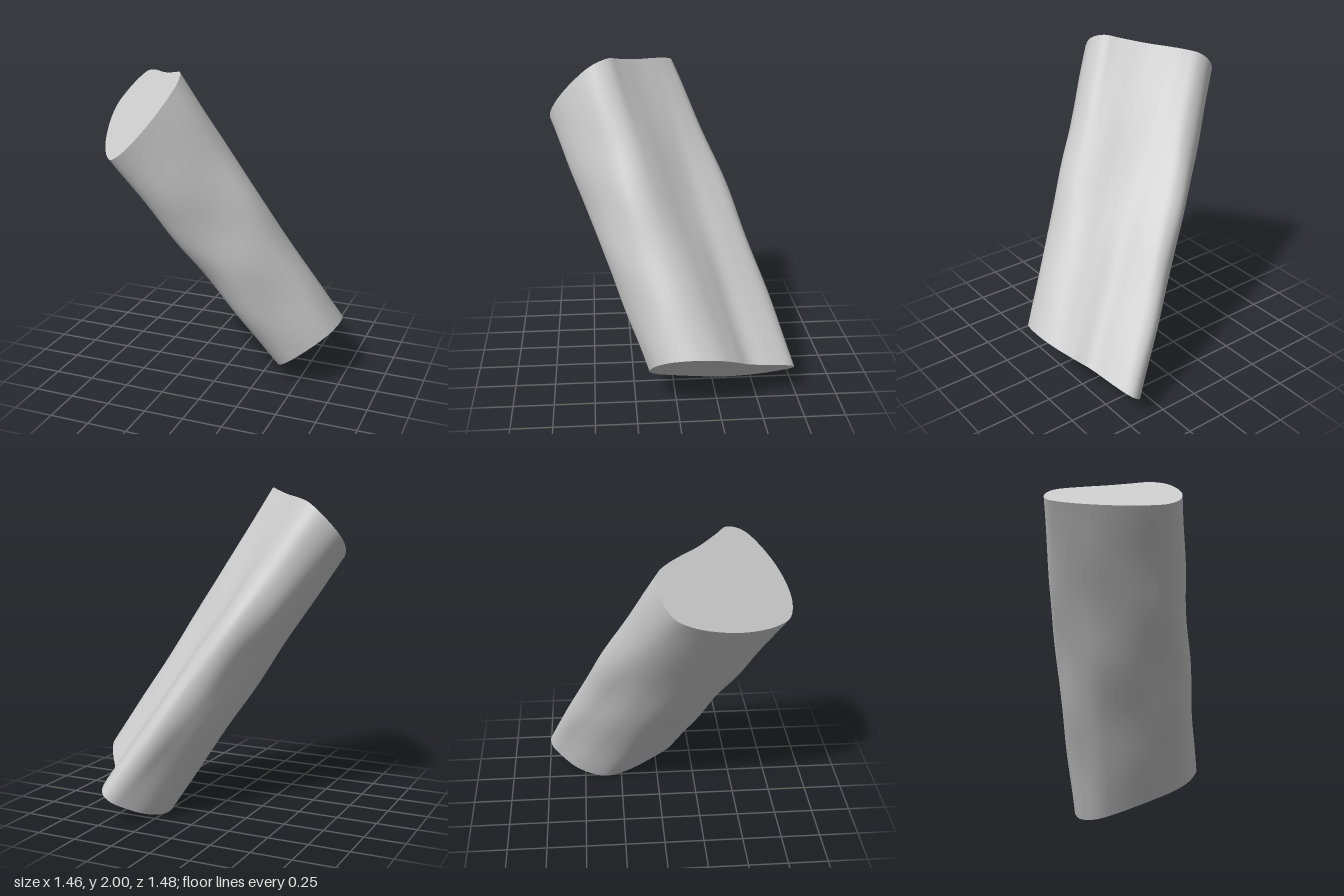
import * as THREE from 'three';

// Matching outlines of the two cut ends, same order round the log.
// Upper cut as [x, z], lower cut as [z, y]; the cut planes give the third value.
const UPPER = [[-.63, -.06], [-.56, -.05], [-.5, 0], [-.43, .075], [-.33, .19], [-.22, .3],
  [-.15, .37], [-.12, .47], [-.15, .58], [-.23, .69], [-.33, .74], [-.42, .72],
  [-.5, .63], [-.6, .46], [-.67, .3], [-.72, .14], [-.73, .04], [-.7, -.02]];
const LOWER = [[-.735, .185], [-.7, .21], [-.58, .24], [-.445, .265], [-.35, .32], [-.24, .37],
  [-.1, .39], [.04, .37], [.12, .315], [.155, .25], [.16, .18], [.11, .125],
  [-.02, .075], [-.21, .02], [-.365, 0], [-.55, .04], [-.68, .11], [-.73, .15]];
const AROUND = 108, ALONG = 48;

function smoothLoop(points) {
  const curve = new THREE.CatmullRomCurve3(points, true, 'centripetal');
  return Array.from({ length: AROUND }, (_, i) => curve.getPoint(i / AROUND));
}

const middle = ring => ring.reduce((s, p) => s.add(p), new THREE.Vector3()).divideScalar(ring.length);

// Smooth hump round the loop, measured in outline points
function hump(u, at, width) {
  const n = UPPER.length;
  const d = Math.abs(u - at) % n;
  return Math.exp(-((Math.min(d, n - d) / width) ** 2));
}

function toGeometry(points, index) {
  const g = new THREE.BufferGeometry().setFromPoints(points);
  g.setIndex(index);
  g.computeVertexNormals();
  return g;
}

function capGeometry(ring, up) {
  const index = [];
  for (let i = 0; i < AROUND; i++) {
    const k = (i + 1) % AROUND;
    index.push(AROUND, up ? k : i, up ? i : k);
  }
  return toGeometry([...ring, middle(ring)], index);
}

export function createModel() {
  const group = new THREE.Group();
  group.name = 'leaningLog';
  const material = new THREE.MeshStandardMaterial({ color: 0xcccccc, roughness: 0.8 });

  const top = smoothLoop(UPPER.map(([x, z]) => new THREE.Vector3(x, 2.36 + .857 * x - .63 * z, z)));
  const bottom = smoothLoop(LOWER.map(([z, y]) => new THREE.Vector3(.235 + 1.256 * y, y, z)));

  // Side surface: blend the outlines, swelling the ridge, deepening the groove, adding soft lumps
  const points = [], index = [];
  for (let j = 0; j <= ALONG; j++) {
    const t = j / ALONG, swell = Math.sin(Math.PI * t);
    const ring = bottom.map((p, i) => p.clone().lerp(top[i], t));
    const centre = middle(ring);
    ring.forEach((p, i) => {
      const u = i / AROUND * UPPER.length, a = i / AROUND * Math.PI * 2;
      const lumps = .012 * Math.sin(3 * a + 13 * t) + .008 * Math.sin(5 * a - 19 * t);
      const k = 1 + swell * (.08 * hump(u, 0, 1.8) - .06 * hump(u, 3.8, 1.5) + lumps);
      points.push(p.sub(centre).multiplyScalar(k).add(centre));
    });
  }
  for (let j = 0; j < ALONG; j++) {
    for (let i = 0; i < AROUND; i++) {
      const k = (i + 1) % AROUND;
      const a = j * AROUND + i, b = j * AROUND + k, c = a + AROUND, d = b + AROUND;
      index.push(a, c, b, b, c, d);
    }
  }

  const add = (name, geometry) => {
    const mesh = new THREE.Mesh(geometry, material);
    mesh.name = name;
    group.add(mesh);
  };
  add('logSide', toGeometry(points, index));
  add('upperCut', capGeometry(top, true));
  add('lowerCut', capGeometry(bottom, false));
  return group;
}
